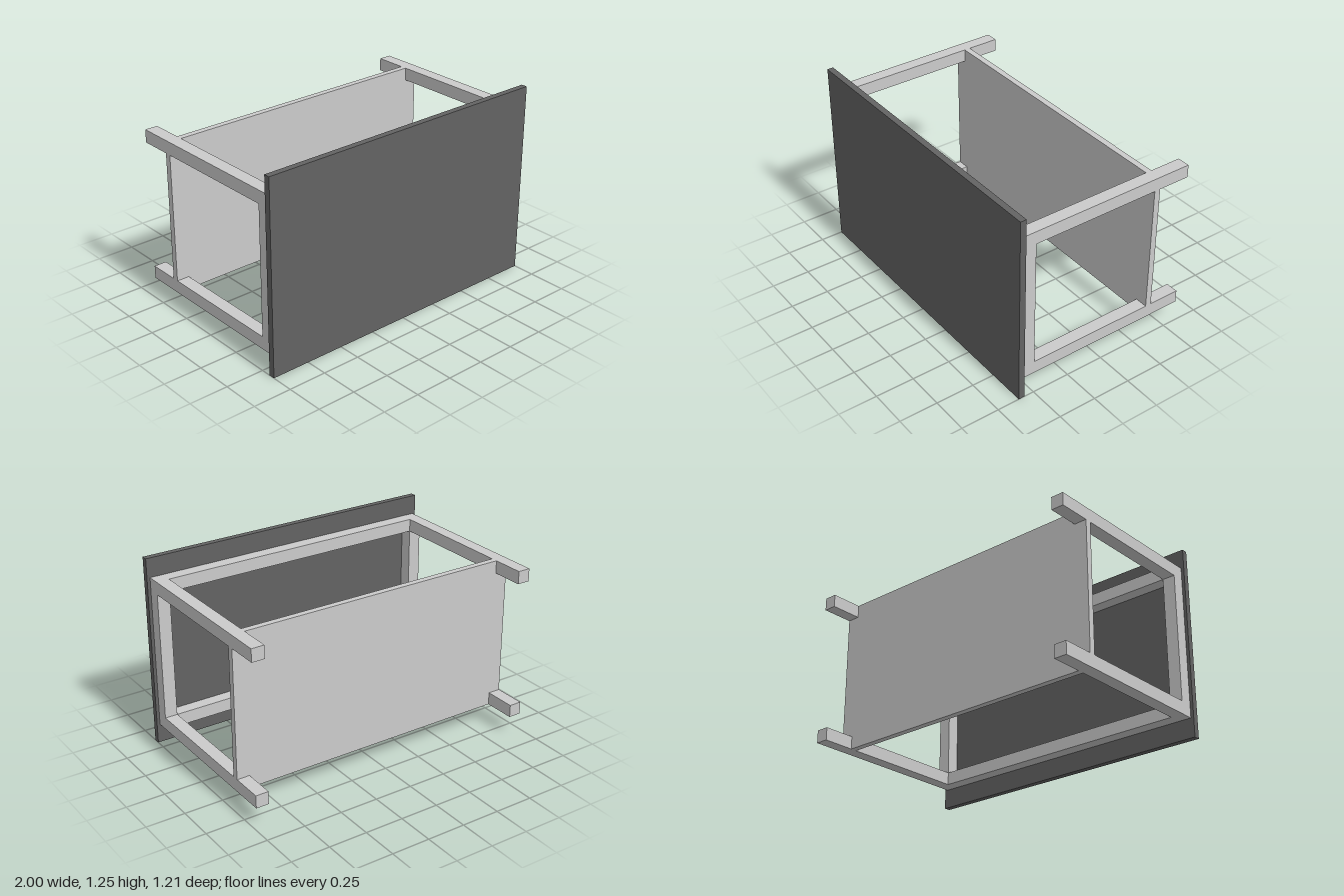
import * as THREE from 'three';

const W = 0.98;            // half width of the frame
const Y0 = 0.125, Y1 = 1.125; // lower and upper faces of the frame
const T = 0.083;           // bar thickness
const TOP_BACK = 0.565, END = -0.605;

export function createModel() {
  const model = new THREE.Group();
  model.name = 'tableOnItsSide';
  const grey = new THREE.MeshStandardMaterial({ color: 0xcccccc });
  const dark = new THREE.MeshStandardMaterial({ color: 0x636363 });

  // Box given by its minimum and maximum corners
  const box = (name, a, b, material = grey) => {
    const size = b.map((v, i) => v - a[i]);
    const mesh = new THREE.Mesh(new THREE.BoxGeometry(...size), material);
    mesh.position.set(...a.map((v, i) => (v + b[i]) / 2));
    mesh.name = name;
    model.add(mesh);
  };

  // Upright table top
  box('tableTop', [-1, 0, TOP_BACK], [1, 1.25, 0.605], dark);

  // Four legs running back from the top
  for (const [side, x] of [['right', -W], ['left', W - T]]) {
    for (const [level, y] of [['lower', Y0], ['upper', Y1 - T]]) {
      box(`${side}${level === 'lower' ? 'Lower' : 'Upper'}Leg`,
        [x, y, END], [x + T, y + T, TOP_BACK]);
    }
    // Short apron rail between the legs of one side
    box(`${side}Apron`, [x, Y0 + T, TOP_BACK - T], [x + T, Y1 - T, TOP_BACK]);
  }

  // Long apron rails
  for (const [name, y] of [['lowerApron', Y0], ['upperApron', Y1 - T]]) {
    box(name, [-W + T, y, TOP_BACK - T], [W - T, y + T, TOP_BACK]);
  }

  // Shelf panel with its corners notched around the legs
  const xi = W - T, yl = Y0 + T, yu = Y1 - T;
  const outline = [
    [-xi, Y0], [xi, Y0], [xi, yl], [W, yl], [W, yu], [xi, yu],
    [xi, Y1], [-xi, Y1], [-xi, yu], [-W, yu], [-W, yl], [-xi, yl],
  ].map(([x, y]) => new THREE.Vector2(x, y));
  const shelf = new THREE.Mesh(
    new THREE.ExtrudeGeometry(new THREE.Shape(outline), { depth: 0.04, bevelEnabled: false }),
    grey);
  shelf.position.z = -0.397;
  shelf.name = 'shelf';
  model.add(shelf);

  return model;
}
